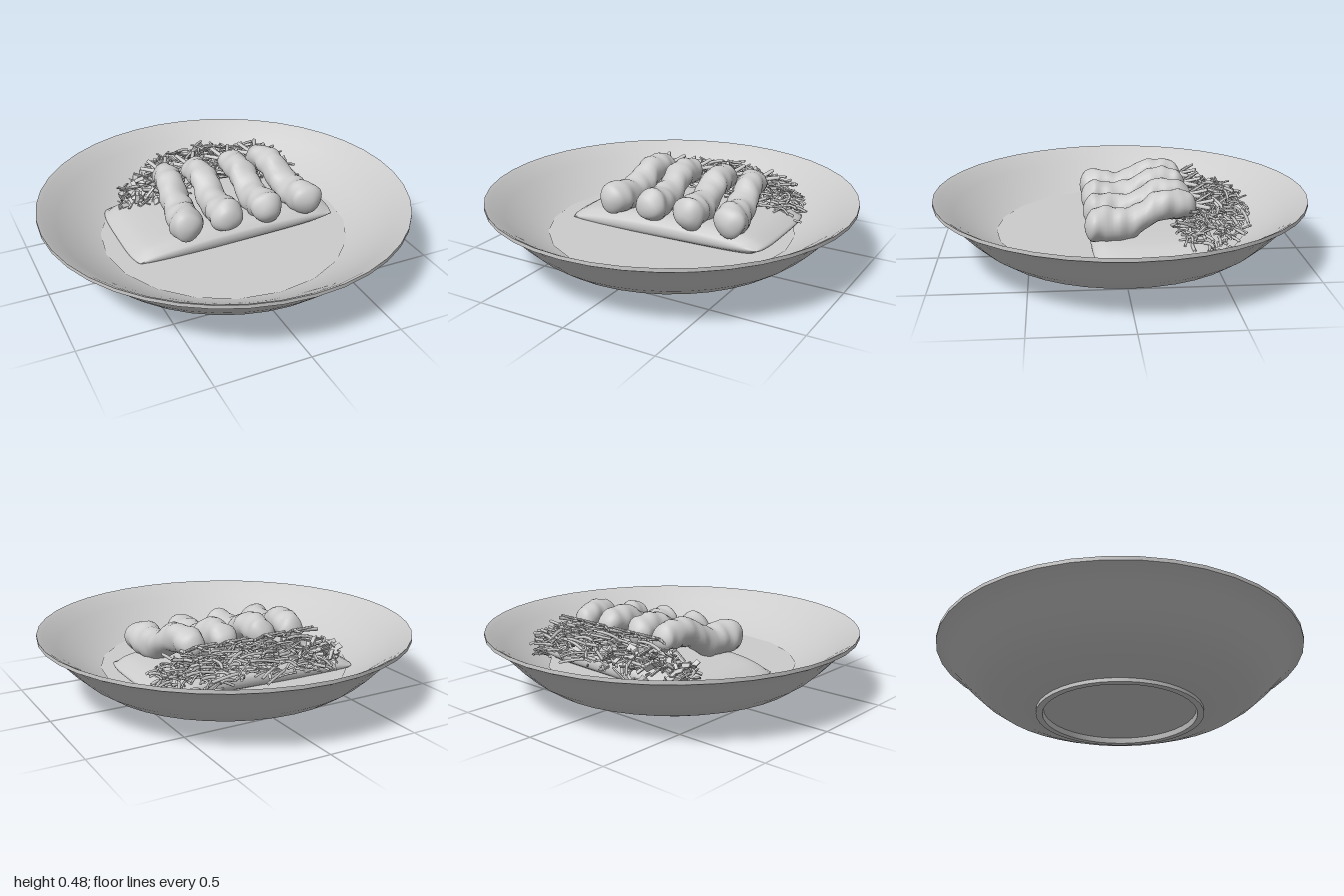
import * as THREE from 'three';
import { mergeGeometries, mergeVertices, toCreasedNormals } from 'three/addons/utils/BufferGeometryUtils.js';

const grey = new THREE.MeshStandardMaterial({ color: 0xcccccc });
const greyThin = new THREE.MeshStandardMaterial({ color: 0xcccccc, side: THREE.DoubleSide });
const V = (x, y, z) => new THREE.Vector3(x, y, z);

let seed = 7;
const rand = (a = 0, b = 1) => {
  seed = (seed * 16807) % 2147483647;
  return a + (b - a) * (seed / 2147483647);
};

function part(name, geometry, material = grey) {
  const mesh = new THREE.Mesh(geometry, material);
  mesh.name = name;
  return mesh;
}

// Move every vertex by a rule, then weld and smooth
function reshape(geometry, rule) {
  const pos = geometry.attributes.position;
  const v = V(0, 0, 0);
  for (let i = 0; i < pos.count; i++) {
    rule(v.fromBufferAttribute(pos, i));
    pos.setXYZ(i, v.x, v.y, v.z);
  }
  geometry.deleteAttribute('uv');
  geometry.deleteAttribute('normal');
  const welded = mergeVertices(geometry, 1e-4);
  welded.computeVertexNormals();
  return welded;
}

// Deep plate with a foot ring, outside then inside of the profile
function plate() {
  const profile = [
    [0, 0.03], [0.41, 0.03], [0.415, 0], [0.45, 0], [0.45, 0.02],
    [0.57, 0.04], [0.7, 0.09], [0.78, 0.145], [0.85, 0.21], [0.92, 0.285], [0.965, 0.325], [1, 0.345],
    [1, 0.365], [0.975, 0.352], [0.9, 0.295], [0.8, 0.225], [0.67, 0.155], [0.5, 0.11], [0, 0.09],
  ].map(([r, y]) => new THREE.Vector2(r, y));
  return part('plate', toCreasedNormals(new THREE.LatheGeometry(profile, 40), 0.6));
}

// Pillow-shaped slab with a rounded rim and a gentle dome
function riceBed() {
  const geometry = reshape(new THREE.BoxGeometry(2, 2, 2, 24, 4, 16), (v) => {
    const { x: u, y: h, z: w } = v;
    const edge = Math.sqrt((1 - 0.9 * u ** 8) * (1 - 0.9 * w ** 8));
    const corner = 1 - 0.05 * u ** 4 * w ** 4;
    const side = 0.975 + 0.025 * (1 - h * h);
    v.set(
      0.02 + 0.595 * u * corner * side,
      0.18 + 0.05 * h * edge + 0.03 * (1 - u * u) * (h + 1) / 2 + 0.015 * u,
      -0.135 + 0.315 * w * corner * side,
    );
  });
  return part('riceBed', geometry);
}

// Crumbed prawn: lumpy lathe bent along a curve, with a fan tail
function prawn(xFront, xBack, phase) {
  const group = new THREE.Group();
  group.name = 'friedPrawn';
  const zFront = 0.21, zBack = -0.36;
  const heights = [0.315, 0.32, 0.315, 0.313, 0.34, 0.388, 0.4, 0.395, 0.375];
  const spine = new THREE.CatmullRomCurve3(heights.map((y, i) => {
    const t = i / (heights.length - 1);
    return V(THREE.MathUtils.lerp(xFront, xBack, t), y, THREE.MathUtils.lerp(zFront, zBack, t));
  }));

  const profile = [];
  const steps = 44;
  for (let i = 0; i <= steps; i++) {
    const t = (1 - Math.cos((Math.PI * i) / steps)) / 2;
    const front = Math.sqrt(1 - Math.max(0, 1 - t / 0.13) ** 2);
    const back = Math.sqrt(1 - Math.max(0, (t - 0.9) / 0.1) ** 2);
    const ripple = 1 + 0.035 * Math.sin(t * 48 + phase);
    profile.push(new THREE.Vector2((0.092 - 0.024 * t) * front * back * ripple, t));
  }
  const body = reshape(new THREE.LatheGeometry(profile, 24), (v) => {
    const t = THREE.MathUtils.clamp(v.y, 0, 1);
    const a = Math.atan2(v.z, v.x);
    const lump = 1 + 0.05 * Math.sin(3 * a + 17 * t + phase) + 0.03 * Math.sin(2 * a - 31 * t + phase * 2);
    const c = spine.getPoint(t);
    v.set(c.x + v.x * lump, c.y + v.z * lump, c.z);
  });
  group.add(part('prawnBody', body));

  // Flattened tail blades fanning out behind the body
  const tail = new THREE.Group();
  tail.name = 'prawnTail';
  tail.position.set(xBack, 0.385, zBack + 0.02);
  for (const [angle, lift, length] of [[-0.95, 0.1, 0.13], [-0.5, 0.35, 0.12], [0, 0.15, 0.08], [0.5, 0.35, 0.12], [0.95, 0.1, 0.13]]) {
    const blade = part('tailBlade', new THREE.CylinderGeometry(0.011, 0.014, length, 6).translate(0, length / 2, 0));
    blade.scale.z = 0.6;
    blade.quaternion.setFromUnitVectors(V(0, 1, 0), V(Math.sin(angle), lift, -Math.cos(angle)).normalize());
    tail.add(blade);
  }
  group.add(tail);
  return group;
}

// Random spot inside the garnish heap, higher near its middle
function heapSpot(xMin, xMax) {
  const x = rand(xMin, xMax);
  const u = (x - 0.08) / 0.56;
  const half = 0.2 * Math.sqrt(Math.max(0.1, 1 - u * u));
  const w = rand(-1, 1);
  const z = -0.46 + 0.1 * u * u + w * half;
  const top = 0.2 + 0.2 * (1 - 0.5 * u * u) * (1 - 0.3 * w * w);
  return V(x, THREE.MathUtils.lerp(Math.max(0.18, top - 0.1), top, rand()), z);
}

// Thin curved shreds
function shreds() {
  const pieces = [];
  for (let i = 0; i < 330; i++) {
    const mid = heapSpot(-0.25, 0.6);
    const angle = rand(0, Math.PI * 2);
    const reach = rand(0.03, 0.085) * (mid.x > 0.45 ? 0.6 : 1);
    const dir = V(Math.cos(angle), rand(-0.35, 0.35), 0.7 * Math.sin(angle)).multiplyScalar(reach);
    const bend = V(rand(-0.02, 0.02), rand(0, 0.025), rand(-0.02, 0.02));
    const path = new THREE.QuadraticBezierCurve3(mid.clone().sub(dir), mid.clone().add(bend), mid.clone().add(dir));
    pieces.push(new THREE.TubeGeometry(path, 4, rand(0.005, 0.009), 5));
  }
  return part('shreddedCabbage', mergeGeometries(pieces), greyThin);
}

// Short chopped flakes at the right-hand end of the heap
function flakes() {
  const pieces = [];
  for (let i = 0; i < 150; i++) {
    const p = heapSpot(-0.46, -0.08);
    const g = new THREE.BoxGeometry(rand(0.03, 0.07), 0.007, rand(0.012, 0.035));
    g.rotateX(rand(-1, 1)).rotateZ(rand(-0.8, 0.8)).rotateY(rand(0, 6.28)).translate(p.x, p.y, p.z);
    pieces.push(g);
  }
  return part('choppedLeaves', mergeGeometries(pieces));
}

export function createModel() {
  const model = new THREE.Group();
  model.name = 'prawnDish';
  model.add(plate());

  // Flat sauce surface
  const sauce = part('sauce', new THREE.CircleGeometry(0.675, 20).rotateX(-Math.PI / 2));
  sauce.position.y = 0.16;
  model.add(sauce);

  model.add(riceBed());
  [[-0.28, -0.22], [-0.045, -0.05], [0.19, 0.17], [0.435, 0.345]].forEach(([front, back], i) => {
    model.add(prawn(front, back, i * 1.7));
  });
  model.add(shreds(), flakes());
  return model;
}
